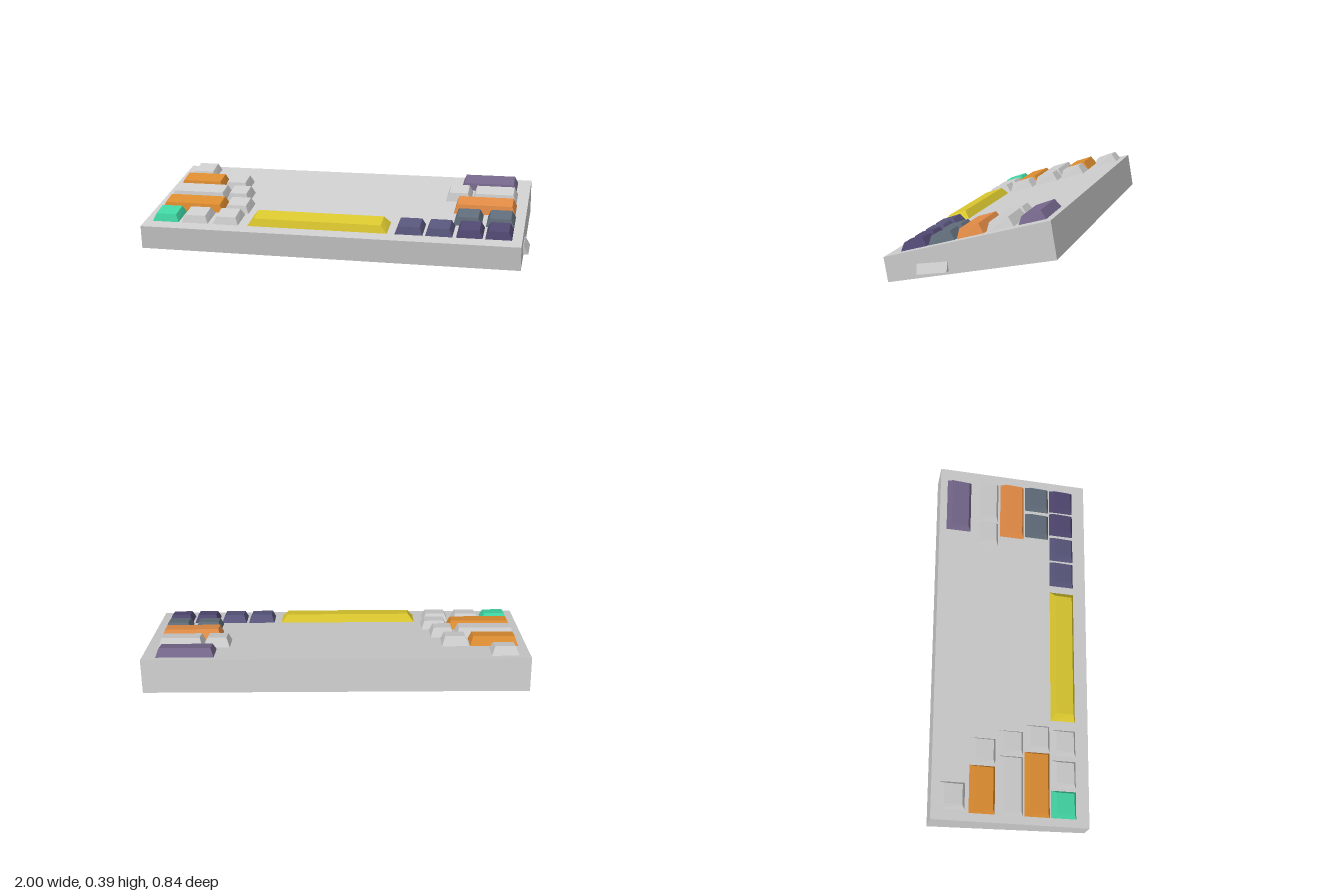
import * as THREE from 'three';

const material = (color) => new THREE.MeshStandardMaterial({ color, flatShading: true });

// Extrudes a side profile given as [z, y] points from x0 to x1.
function sideExtrusion(points, x0, x1) {
  const shape = new THREE.Shape(points.map(([z, y]) => new THREE.Vector2(-z, y)));
  const geometry = new THREE.ExtrudeGeometry(shape, { depth: x1 - x0, bevelEnabled: false });
  return geometry.rotateY(Math.PI / 2).translate(x0, 0, 0);
}

// Tapered keycap standing on y = 0, its top tilted from front to back height.
function keycap(width, depth, front, back, insetX, insetZ) {
  const geometry = new THREE.BoxGeometry(width, 1, depth);
  const p = geometry.attributes.position;
  for (let i = 0; i < p.count; i++) {
    const x = p.getX(i), z = p.getZ(i);
    if (p.getY(i) > 0) {
      p.setXYZ(i, x - Math.sign(x) * insetX, z > 0 ? front : back, z - Math.sign(z) * insetZ);
    } else {
      p.setY(i, -0.004);
    }
  }
  geometry.computeVertexNormals();
  return geometry;
}

const GREY = 0xcccccc, ORANGE = 0xdb8b30, COPPER = 0xe08a45, PURPLE = 0x74668a;
const SLATE = 0x5f6b78, INDIGO = 0x57557a, VIOLET = 0x4f476f, GREEN = 0x40d4a2, YELLOW = 0xd8c52e;

// Rows from back to front: centre z, front and back height, keys as [x0, x1, colour].
const rows = [
  { z: -0.28, h: [0.035, 0.044], keys: [[-0.94, -0.80, GREY], [0.605, 0.905, PURPLE]] },
  { z: -0.13, h: [0.042, 0.048], keys: [[-0.955, -0.705, ORANGE], [-0.70, -0.56, GREY],
    [0.54, 0.675, GREY], [0.68, 0.915, GREY]] },
  { z: 0.012, h: [0.043, 0.048], keys: [[-0.955, -0.645, GREY], [-0.64, -0.51, GREY], [0.60, 0.92, COPPER]] },
  { z: 0.15, h: [0.038, 0.043], keys: [[-0.955, -0.615, ORANGE], [-0.61, -0.47, GREY],
    [0.615, 0.76, SLATE], [0.78, 0.925, SLATE]] },
  { z: 0.287, h: [0.035, 0.041], keys: [[-0.955, -0.81, GREEN], [-0.795, -0.65, GREY], [-0.625, -0.485, GREY],
    [-0.44, 0.30, YELLOW], [0.335, 0.48, INDIGO], [0.49, 0.63, INDIGO],
    [0.645, 0.78, VIOLET], [0.79, 0.925, VIOLET]] },
];

export function createModel() {
  const model = new THREE.Group();
  model.name = 'keyboard';

  // The whole keyboard leans slightly to its left side.
  const tilted = new THREE.Group();
  tilted.name = 'tiltedKeyboard';
  tilted.rotation.set(0, -0.005, -0.015);
  model.add(tilted);

  // Wedge-shaped case
  const caseMesh = new THREE.Mesh(
    sideExtrusion([[0.4, 0.016], [0.42, 0.136], [-0.383, 0.353], [-0.413, 0.173]], -1.0, 0.97),
    material(GREY));
  caseMesh.name = 'case';
  tilted.add(caseMesh);

  // Small wedge on the side
  const wedge = new THREE.Shape([[-0.01, 0.024], [0.003, 0.024], [0.027, -0.022], [-0.01, -0.022]]
    .map(([x, y]) => new THREE.Vector2(x, y)));
  const tab = new THREE.Mesh(
    new THREE.ExtrudeGeometry(wedge, { depth: 0.15, bevelEnabled: false }).translate(0, 0, -0.075),
    material(GREY));
  tab.name = 'sideTab';
  tab.position.set(0.97, 0.101, 0.177);
  tab.rotation.x = 0.14;
  tilted.add(tab);

  // Keys on the sloping deck
  const slope = 0.264;
  const deck = new THREE.Group();
  deck.name = 'keys';
  deck.position.set(-0.004, 0.25, 0);
  deck.rotation.x = slope;
  tilted.add(deck);
  rows.forEach(({ z, h, keys }, r) => {
    keys.forEach(([x0, x1, color], k) => {
      const isSpace = x1 - x0 > 0.5;
      const key = new THREE.Mesh(
        keycap(x1 - x0, 0.138, h[0], h[1], isSpace ? 0.036 : 0.018, 0.021), material(color));
      key.name = isSpace ? 'spaceBar' : `key${r + 1}_${k + 1}`;
      key.position.set((x0 + x1) / 2, 0, z / Math.cos(slope));
      deck.add(key);
    });
  });

  return model;
}
